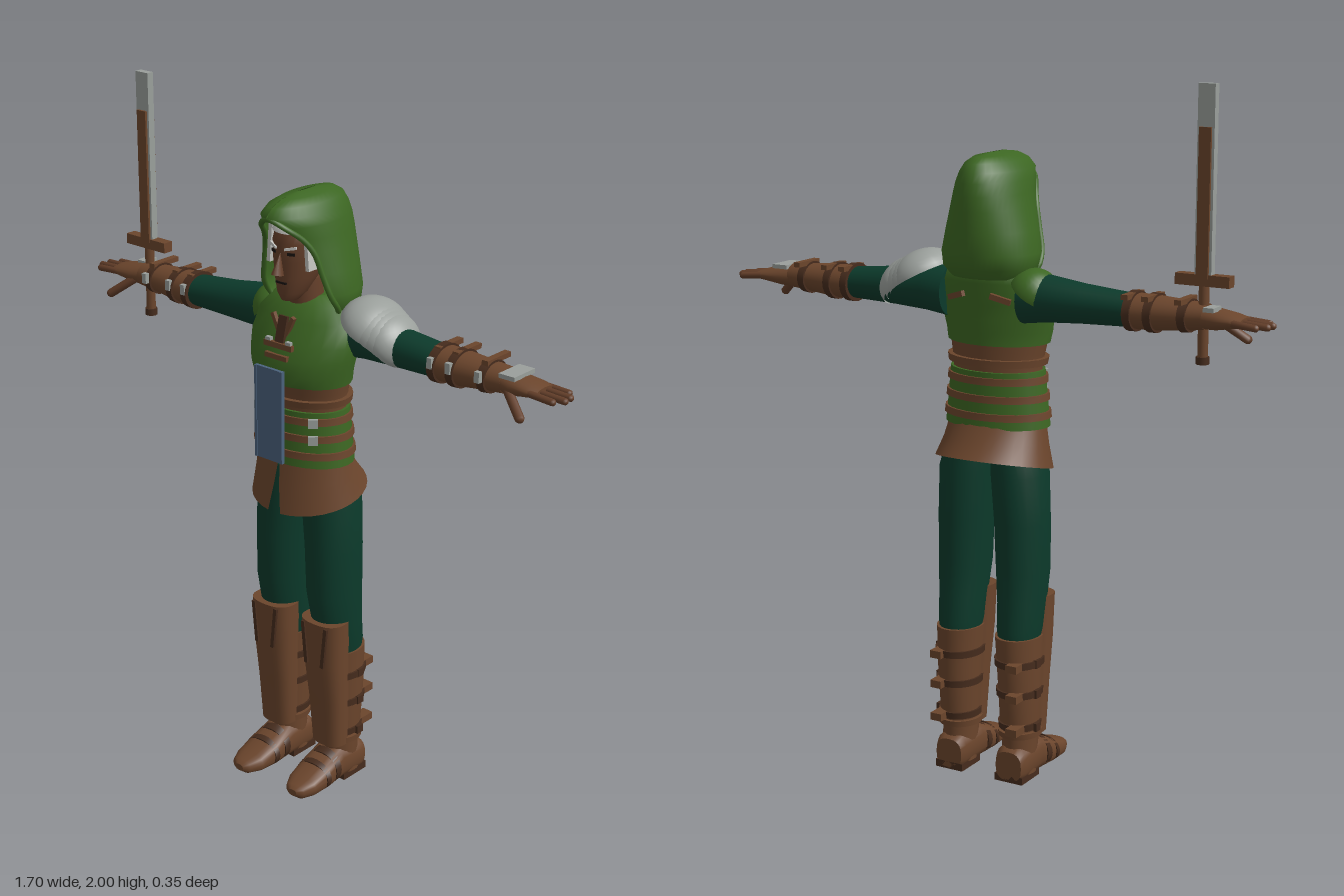
import * as THREE from 'three';

const mat = (name, color, double) => {
  const m = new THREE.MeshStandardMaterial({ color });
  m.name = name;
  if (double) m.side = THREE.DoubleSide;
  return m;
};

// Skins elliptical sections [t, c1, c2, r1, r2, gap]; gap is a half angle left open at the front.
// axis y: (c1,c2) = (x,z); axis x: (y,z); axis z: (x,y).
function loft(rows, axis = 'y', seg = 24, p = 1) {
  const pos = [], idx = [], open = rows[0][5] !== undefined, n = open ? seg + 1 : seg;
  const pw = v => Math.sign(v) * Math.abs(v) ** p;
  const point = ([t, c1, c2, r1, r2], a) => {
    if (axis === 'x') return pos.push(-c1 + r1 * pw(Math.sin(a)), t, c2 + r2 * pw(Math.cos(a)));
    if (axis === 'z') return pos.push(c1 + r1 * pw(Math.sin(a)), t, -c2 + r2 * pw(Math.cos(a)));
    pos.push(c1 + r1 * pw(Math.sin(a)), t, c2 + r2 * pw(Math.cos(a)));
  };
  const ring = row => {
    const g = row[5] || 0;
    for (let i = 0; i < n; i++) point(row, g + (Math.PI * 2 - 2 * g) * i / seg);
  };
  rows.forEach(ring);
  for (let j = 0; j < rows.length - 1; j++) for (let i = 0; i < seg; i++) {
    const a = j * n + i, b = j * n + (i + 1) % n;
    idx.push(a, b, b + n, a, b + n, a + n);
  }
  if (!open) [rows[0], rows[rows.length - 1]].forEach((row, top) => {
    const s = pos.length / 3;
    ring(row);
    point([row[0], row[1], row[2], 0, 0], 0);
    for (let i = 0; i < n; i++) {
      const a = s + i, b = s + (i + 1) % n;
      top ? idx.push(a, b, s + n) : idx.push(b, a, s + n);
    }
  });
  const g = new THREE.BufferGeometry();
  g.setAttribute('position', new THREE.Float32BufferAttribute(pos, 3));
  g.setIndex(idx);
  if (axis === 'x') g.rotateZ(-Math.PI / 2);
  if (axis === 'z') g.rotateX(Math.PI / 2);
  g.computeVertexNormals();
  return g;
}

// Interpolates a section of a row table at t, grown outward.
function sectionAt(rows, t, grow) {
  let j = 0;
  while (j < rows.length - 2 && rows[j + 1][0] < t) j++;
  const a = rows[j], b = rows[j + 1], k = (t - a[0]) / (b[0] - a[0]);
  const s = a.map((v, i) => v + (b[i] - v) * k);
  return [t, s[1], s[2], s[3] + grow, s[4] + grow];
}
const band = (rows, t, h, grow, axis) =>
  loft([t - h / 2, t + h / 2].map(v => sectionAt(rows, v, grow)), axis);

function box(w, h, d, x, y, z, rz = 0, ry = 0, rx = 0) {
  return new THREE.BoxGeometry(w, h, d).rotateX(rx).rotateY(ry).rotateZ(rz).translate(x, y, z);
}
function limb(a, b, r) {
  const A = new THREE.Vector3(...a), B = new THREE.Vector3(...b), d = B.clone().sub(A);
  const g = new THREE.CapsuleGeometry(r, d.length(), 4, 8);
  g.applyQuaternion(new THREE.Quaternion().setFromUnitVectors(new THREE.Vector3(0, 1, 0), d.normalize()));
  return g.translate(...A.add(B).multiplyScalar(0.5).toArray());
}
function mirrored(geo) {
  const g = geo.clone().scale(-1, 1, 1), ix = g.index.array;
  for (let i = 0; i < ix.length; i += 3) [ix[i], ix[i + 1]] = [ix[i + 1], ix[i]];
  g.computeVertexNormals();
  return g;
}

export function createModel() {
  const root = new THREE.Group();
  root.name = 'hoodedSwordsman';
  const green = mat('tunicGreen', 0x3c6622, true), pine = mat('trouserGreen', 0x0c3a2b);
  const leather = mat('leather', 0x6b452c, true), dark = mat('darkLeather', 0x462c1d);
  const skin = mat('skin', 0x633e29), silver = mat('silver', 0x9a9f9b, true);
  const hair = mat('whiteHair', 0xc4c4c0), steel = mat('blueSteel', 0x4b627c);
  const black = mat('black', 0x17110e);
  const add = (name, geo, m) => {
    const mesh = new THREE.Mesh(geo, m);
    mesh.name = name;
    root.add(mesh);
    return mesh;
  };
  const both = (name, geo, m) => {
    add(name + 'Left', geo, m);
    add(name + 'Right', mirrored(geo), m);
  };

  // Torso: green corset, brown shirt band and green vest
  const torso = [[1.03, 0, 0.003, 0.155, 0.107], [1.1, 0, 0.003, 0.147, 0.103], [1.2, 0, 0.003, 0.137, 0.1],
    [1.3, 0, 0.013, 0.155, 0.113], [1.38, 0, 0, 0.172, 0.106], [1.44, 0, -0.02, 0.165, 0.095],
    [1.48, 0, -0.03, 0.125, 0.08], [1.5, 0, -0.03, 0.06, 0.05]];
  add('corset', loft([1.03, 1.07, 1.1, 1.15, 1.19].map(y => sectionAt(torso, y, 0.004))), green);
  add('shirt', loft([1.17, 1.2, 1.24, 1.3].map(y => sectionAt(torso, y, -0.004))), leather);
  const vest = loft([1.265, 1.3, 1.34].map(y => sectionAt(torso, y, 0.004)).concat(torso.slice(4)));
  add('vest', vest, green);
  for (const y of [1.065, 1.115, 1.165, 1.215]) add('waistStrap', band(torso, y, 0.02, 0.01), leather);
  for (const y of [1.115, 1.165]) both('waistBuckle', box(0.028, 0.026, 0.01, 0.105, y, 0.088, 0, 0.75), silver);
  both('backStrap', box(0.06, 0.016, 0.012, 0.07, 1.4, -0.105, -0.3, -0.3), leather);

  // Chest fastening and neck opening
  add('neckOpening', box(0.03, 0.09, 0.01, 0, 1.41, 0.098, 0, 0, -0.25), dark);
  add('chestStrap', box(0.1, 0.016, 0.012, 0, 1.375, 0.11), leather);
  add('chestStrap', box(0.08, 0.014, 0.012, 0, 1.345, 0.118), leather);
  both('chestBuckle', box(0.018, 0.024, 0.012, 0.036, 1.38, 0.109), silver);
  both('collarLace', box(0.012, 0.07, 0.012, 0.022, 1.425, 0.09, -0.45), leather);

  // Hanging chest plate
  add('chestPlate', box(0.1, 0.27, 0.01, 0, 1.185, 0.148), steel);
  both('plateRail', box(0.008, 0.27, 0.012, 0.046, 1.185, 0.149), steel);

  // Skirt with a front slit and a hem that rises toward the back
  const skirt = loft([[0.915, 0, -0.018, 0.172, 0.152, 0.13], [0.98, 0, -0.006, 0.155, 0.128, 0.06],
    [1.045, 0, 0.003, 0.143, 0.106, 0.01]], 'y', 32);
  const sp = skirt.attributes.position;
  for (let i = 0; i < sp.count; i++) {
    const low = (1.045 - sp.getY(i)) / 0.13;
    sp.setY(i, sp.getY(i) - sp.getZ(i) * 0.23 * low);
  }
  skirt.computeVertexNormals();
  add('skirt', skirt, leather);

  // Legs, boots and shin guards
  both('trouserLeg', loft([[0.4, 0.097, -0.045, 0.055, 0.065], [0.45, 0.097, -0.038, 0.063, 0.078],
    [0.52, 0.097, -0.028, 0.067, 0.08], [0.62, 0.095, -0.018, 0.074, 0.088], [0.76, 0.092, -0.018, 0.077, 0.09],
    [0.9, 0.084, -0.018, 0.08, 0.093], [1.0, 0.07, -0.005, 0.07, 0.09]]), pine);
  const boot = [[0.02, 0.1, -0.05, 0.05, 0.055], [0.12, 0.1, -0.04, 0.05, 0.058], [0.18, 0.1, -0.044, 0.055, 0.065],
    [0.3, 0.1, -0.045, 0.06, 0.073], [0.43, 0.097, -0.043, 0.066, 0.08]];
  both('boot', loft(boot), leather);
  const shin = [[0.13, 0.1, 0, 0.054, 0.042], [0.28, 0.099, 0.008, 0.06, 0.046], [0.41, 0.097, 0.018, 0.066, 0.052],
    [0.54, 0.096, 0.021, 0.071, 0.054]];
  both('shinGuard', loft(shin, 'y', 24, 0.8), leather);
  both('kneeTrim', box(0.012, 0.13, 0.008, 0.06, 0.47, 0.07, 0.1), dark);
  both('kneeTrimOuter', box(0.012, 0.13, 0.008, 0.132, 0.47, 0.07, -0.1), dark);
  both('ankleBand', band(boot, 0.14, 0.018, 0.01), leather);
  for (const y of [0.165, 0.265, 0.355]) {
    both('calfStrap', band(boot, y, 0.02, 0.006), dark);
    both('calfTab', box(0.035, 0.022, 0.06, 0.125, y, -0.11), leather);
    both('calfBuckle', box(0.01, 0.024, 0.025, 0.163, y, -0.055), dark);
  }
  const foot = [[-0.11, 0.1, 0.048, 0.042, 0.044], [-0.09, 0.1, 0.053, 0.05, 0.053], [0, 0.1, 0.06, 0.055, 0.055],
    [0.07, 0.102, 0.045, 0.058, 0.04], [0.13, 0.104, 0.034, 0.052, 0.027], [0.165, 0.106, 0.03, 0.035, 0.02],
    [0.178, 0.106, 0.03, 0.015, 0.01]];
  both('foot', loft(foot, 'z', 20, 0.75), leather);
  both('heel', box(0.09, 0.022, 0.1, 0.1, 0.011, -0.06), dark);
  both('instepStrap', band(foot, 0.03, 0.022, 0.004, 'z'), dark);
  both('instepStrapFront', band(foot, 0.075, 0.016, 0.004, 'z'), dark);

  // Sleeves, bracers and hands
  both('sleeve', loft([[0.12, 1.4, -0.05, 0.07, 0.065], [0.19, 1.405, -0.05, 0.065, 0.065],
    [0.3, 1.4, -0.045, 0.054, 0.058], [0.46, 1.395, -0.042, 0.044, 0.053]], 'x'), pine);
  const bracer = [[0.44, 1.395, -0.042, 0.049, 0.059], [0.52, 1.395, -0.042, 0.047, 0.056],
    [0.6, 1.397, -0.042, 0.04, 0.048], [0.66, 1.398, -0.042, 0.035, 0.043]];
  both('bracer', loft(bracer, 'x'), leather);
  for (const x of [0.45, 0.51, 0.605]) {
    both('bracerStrap', band(bracer, x, 0.022, 0.006, 'x'), dark);
    both('bracerBuckle', box(0.016, 0.03, 0.014, x, 1.41, 0.018), silver);
    both('bracerTab', box(0.02, 0.014, 0.1, x, 1.44, -0.06), leather);
  }
  both('palm', loft([[0.64, 1.397, -0.042, 0.032, 0.04], [0.69, 1.395, -0.043, 0.029, 0.048],
    [0.74, 1.395, -0.045, 0.02, 0.049], [0.77, 1.393, -0.047, 0.013, 0.044]], 'x'), leather);
  [[-0.088, 0.815], [-0.062, 0.837], [-0.034, 0.84], [-0.008, 0.82]].forEach(([z, x]) =>
    both('finger', limb([0.75, 1.394, z * 0.95], [x, 1.389, z], 0.01), skin));
  both('thumb', limb([0.68, 1.385, -0.01], [0.745, 1.335, 0.025], 0.013), skin);
  add('handPlateLeft', box(0.05, 0.012, 0.09, 0.685, 1.425, -0.04), silver);
  add('handPlateRight', box(0.03, 0.012, 0.05, -0.685, 1.425, -0.07), silver);

  // Layered plates on the left shoulder, cloth cap on the right
  for (let i = 0; i < 4; i++) {
    const s = 1 - i * 0.05;
    const g = new THREE.SphereGeometry(1, 24, 10, 0, Math.PI * 2, 0, Math.PI / 2)
      .scale(0.095 * s, 0.075 * s, 0.105 * s).rotateZ(-0.5 - i * 0.14).translate(0.205 + i * 0.021, 1.435 - i * 0.008, -0.05);
    add('shoulderPlate', g, silver);
  }
  const cap = new THREE.SphereGeometry(1, 20, 8, 0, Math.PI * 2, 0, Math.PI / 2)
    .scale(0.07, 0.07, 0.078).rotateZ(0.6).translate(-0.145, 1.415, -0.05);
  add('shoulderCap', cap, green);

  // Head and face
  add('neck', loft([[1.42, 0, -0.01, 0.055, 0.055], [1.55, 0, 0.005, 0.045, 0.05]]), skin);
  const head = [[1.498, 0, 0.06, 0.022, 0.03], [1.52, 0, 0.05, 0.04, 0.048], [1.56, 0, 0.035, 0.056, 0.064],
    [1.61, 0, 0.022, 0.067, 0.079], [1.66, 0, 0.018, 0.071, 0.083], [1.7, 0, 0.012, 0.066, 0.076], [1.73, 0, 0.005, 0.045, 0.055]];
  add('head', loft(head), skin);
  add('hair', loft([1.688, 1.7, 1.72, 1.732].map(y => sectionAt(head, y, 0.008))), hair);
  both('sideHair', box(0.012, 0.11, 0.035, 0.066, 1.645, 0.055, 0.08), hair);
  add('nose', new THREE.ConeGeometry(0.016, 0.062, 8).scale(1, 1, 1.2).rotateX(-0.2).translate(0, 1.606, 0.107), skin);
  both('eyebrow', box(0.034, 0.007, 0.008, 0.03, 1.65, 0.094, 0.22, 0.4), hair);
  both('eye', box(0.022, 0.008, 0.006, 0.03, 1.634, 0.092, 0, 0.4), black);
  add('mouth', box(0.036, 0.005, 0.006, 0, 1.551, 0.099), black);

  // Hood: rows [y, half width, front z, back z, opening half angle]
  const hood = [[1.452, 0.115, 0.05, -0.125, 1.25], [1.48, 0.137, 0.075, -0.15, 1.15], [1.52, 0.14, 0.1, -0.164, 1.05],
    [1.58, 0.126, 0.11, -0.165, 0.98], [1.64, 0.11, 0.12, -0.165, 0.93], [1.68, 0.1, 0.13, -0.164, 0.78],
    [1.715, 0.092, 0.146, -0.16, 0.5], [1.742, 0.082, 0.155, -0.152, 0.02], [1.766, 0.064, 0.135, -0.138, 0.01],
    [1.782, 0.04, 0.095, -0.11, 0.01], [1.79, 0.002, 0.03, -0.04, 0.01]]
    .map(([y, w, f, b, a]) => [y, 0, (f + b) / 2, w, (f - b) / 2, a]);
  add('hood', loft(hood, 'y', 36), green);
  const side = hood.slice(0, 7).map(([y, , c, w, d, a]) => new THREE.Vector3(w * Math.sin(a), y, c + d * Math.cos(a)));
  const rim = [...side, new THREE.Vector3(0, 1.738, 0.148),
    ...side.slice().reverse().map(v => new THREE.Vector3(-v.x, v.y, v.z))];
  add('hoodRim', new THREE.TubeGeometry(new THREE.CatmullRomCurve3(rim), 48, 0.008, 8), green);

  // Sword held upright at the right hand
  add('swordBlade', box(0.048, 0.49, 0.022, -0.65, 1.755, -0.046), silver);
  add('swordCore', box(0.034, 0.39, 0.036, -0.65, 1.695, -0.046), leather);
  add('swordGuard', box(0.155, 0.03, 0.032, -0.65, 1.495, -0.046), leather);
  add('swordGrip', new THREE.CylinderGeometry(0.014, 0.014, 0.21, 12).translate(-0.65, 1.38, -0.046), leather);
  add('swordPommel', new THREE.CylinderGeometry(0.018, 0.018, 0.02, 12).translate(-0.65, 1.282, -0.046), dark);
  return root;
}
